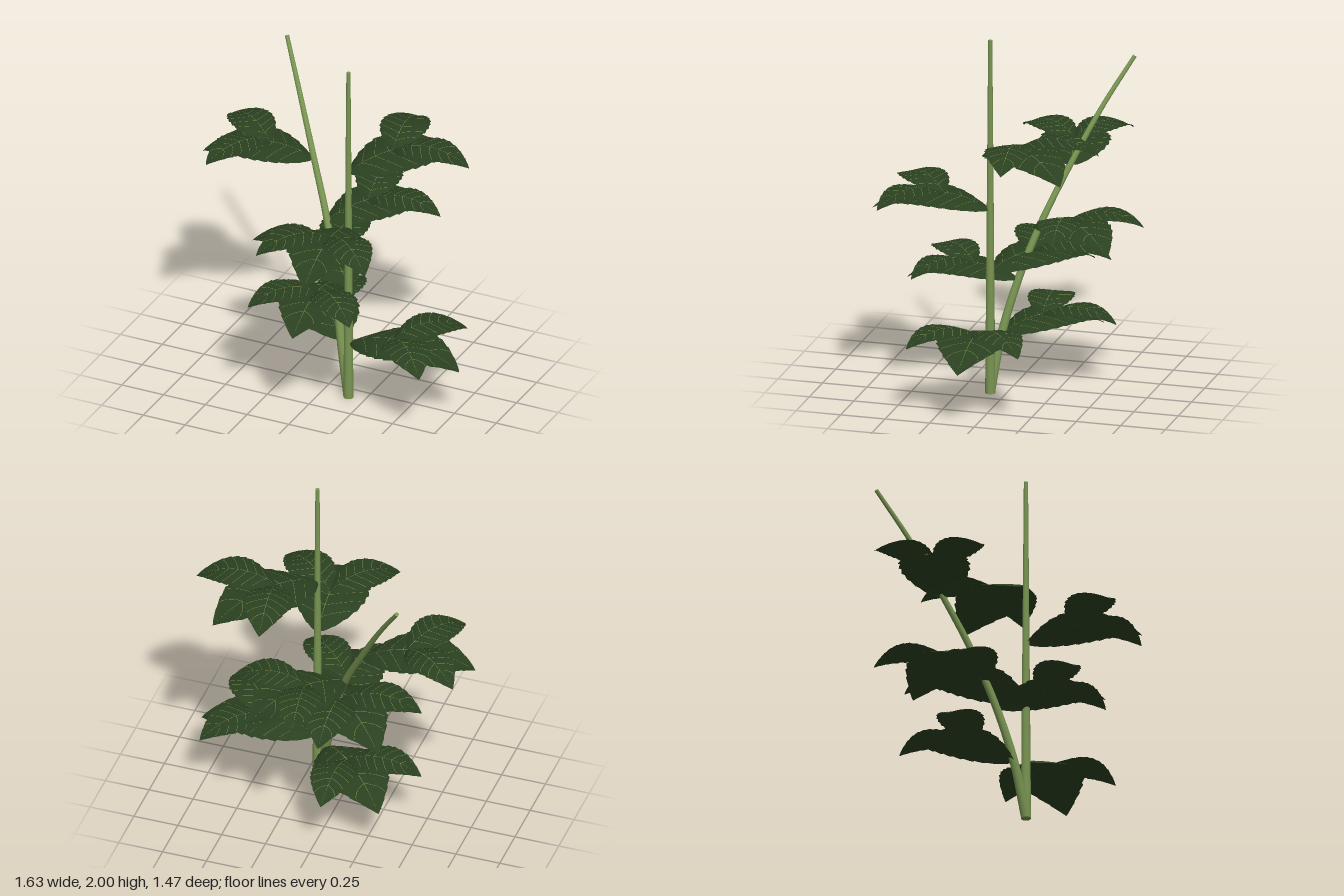
import * as THREE from 'three';
import { mergeGeometries } from 'three/addons/utils/BufferGeometryUtils.js';

const mat = (name, color, side = THREE.FrontSide) => {
  const m = new THREE.MeshStandardMaterial({ color, side });
  m.name = name;
  return m;
};

// Grid surface from a rule fn(a, b) with a, b in 0..1
function grid(na, nb, fn) {
  const pos = [], idx = [];
  for (let i = 0; i <= na; i++)
    for (let j = 0; j <= nb; j++) pos.push(...fn(i / na, j / nb));
  for (let i = 0; i < na; i++)
    for (let j = 0; j < nb; j++) {
      const a = i * (nb + 1) + j, b = a + nb + 1;
      idx.push(a, b, a + 1, b, b + 1, a + 1);
    }
  const g = new THREE.BufferGeometry();
  g.setAttribute('position', new THREE.Float32BufferAttribute(pos, 3));
  g.setIndex(idx);
  g.computeVertexNormals();
  return g;
}

// Point on an arched blade: t runs base to tip, u edge to edge (-1..1).
// The edges droop near the base and lift slightly at the tip.
function leafPoint(s, t, u, lift = 0) {
  const round = Math.pow(Math.max(0, Math.sin(Math.PI * Math.pow(t, 0.88))), 0.72);
  const half = s.width * s.length * round * (1 - 0.3 * t ** 8) * (1 - 0.35 * (1 - t) ** 5);
  const saw = 1 - 0.08 * ((t * 11) % 1) * Math.abs(u) ** 3;
  const curl = 0.11 * s.length * (t - 0.72) * u * u * Math.sqrt(Math.max(0, Math.sin(Math.PI * t)));
  const y = 4 * s.arch * t * (1 - t) + s.drop * t + curl;
  return [u * half * saw, y + lift, s.length * t];
}

function bladeGeometry(s) {
  return grid(55, 8, (t, b) => leafPoint(s, t, b * 2 - 1));
}

// Midrib and paired side veins lying just above the blade
function veinGeometry(s) {
  const w = 0.0011 / s.length;
  const parts = [grid(20, 1, (a, b) => leafPoint(s, 0.03 + 0.93 * a, (b - 0.5) * 0.016, 0.003))];
  for (let k = 0; k < 6; k++)
    for (const side of [-1, 1])
      parts.push(grid(6, 1, (a, b) =>
        leafPoint(s, 0.12 + 0.12 * k + 0.13 * a ** 1.2 + (b - 0.5) * 2 * w, side * 0.88 * a, 0.003)));
  return mergeGeometries(parts);
}

export function createModel() {
  const model = new THREE.Group();
  model.name = 'plant';
  const leafGreen = mat('leaf green', 0x2a4020, THREE.DoubleSide);
  const stemGreen = mat('stem green', 0x799552);
  const veinGreen = mat('vein green', 0x7c8e4a, THREE.DoubleSide);

  const add = (parent, name, geometry, material) => {
    const m = new THREE.Mesh(geometry, material);
    m.name = name;
    parent.add(m);
    return m;
  };

  // Upright stem
  add(model, 'uprightStem', new THREE.CylinderGeometry(0.0115, 0.028, 2, 14), stemGreen)
    .position.set(0.156, 1, 0.085);

  // Leaning stem: a tube tapered towards its top
  const path = new THREE.CatmullRomCurve3([
    [0.155, 0.008, 0.085], [0.09, 0.32, 0.04], [0.02, 0.62, -0.035], [-0.078, 0.92, -0.135],
    [-0.215, 1.21, -0.255], [-0.362, 1.5, -0.388], [-0.51, 1.76, -0.53],
  ].map(p => new THREE.Vector3(...p)));
  const tube = new THREE.TubeGeometry(path, 40, 1, 12);
  const tp = tube.attributes.position, v = new THREE.Vector3();
  for (let i = 0; i < tp.count; i++) {
    const t = tube.attributes.uv.getX(i), c = path.getPointAt(t);
    v.fromBufferAttribute(tp, i).sub(c).multiplyScalar(0.027 - 0.0155 * t).add(c);
    tp.setXYZ(i, v.x, v.y, v.z);
  }
  add(model, 'leaningStem', tube, stemGreen);
  for (const [t, r] of [[0, 0.027], [1, 0.0115]]) {
    const cap = add(model, 'leaningStemCap', new THREE.CircleGeometry(r, 12), stemGreen);
    const p = path.getPointAt(t);
    cap.position.copy(p);
    cap.lookAt(p.clone().addScaledVector(path.getTangentAt(t), t ? 1 : -1));
  }

  // Leaf shapes shared by every cluster
  const big = { length: 0.645, width: 0.325, arch: 0.092, drop: -0.04 };
  const small = { length: 0.43, width: 0.315, arch: 0.07, drop: -0.025 };
  for (const s of [big, small]) {
    s.blade = bladeGeometry(s);
    s.veins = veinGeometry(s);
  }
  const addLeaf = (parent, name, s, turn, y, z) => {
    const leaf = new THREE.Group();
    leaf.name = name;
    leaf.position.set(0, y, z);
    leaf.rotation.y = turn;
    add(leaf, 'blade', s.blade, leafGreen);
    add(leaf, 'veins', s.veins, veinGreen);
    parent.add(leaf);
  };

  // Clusters of three leaves: base x, y, z, then horizontal reach in x and z
  const clusters = [
    [0.155, 1.385, 0.085, 0.42, -0.515],
    [-0.22, 1.21, -0.26, -0.6, 0.13],
    [0.155, 1.045, 0.085, 0.05, 0.65],
    [-0.08, 0.92, -0.13, 0.39, -0.49],
    [0.155, 0.69, 0.085, -0.5, -0.44],
    [0.02, 0.62, -0.03, 0.04, 0.61],
    [0.165, 0.345, 0.085, 0.65, -0.01],
    [0.09, 0.32, 0.04, -0.45, -0.44],
  ];
  for (const [x, y, z, dx, dz] of clusters) {
    const cluster = new THREE.Group();
    cluster.name = 'leafCluster';
    cluster.position.set(x, y, z);
    cluster.rotation.y = Math.atan2(dx, dz);
    cluster.scale.setScalar(Math.hypot(dx, dz) / big.length);
    addLeaf(cluster, 'middleLeaf', big, 0, 0, 0);
    for (const side of [-1, 1])
      addLeaf(cluster, side > 0 ? 'leftLeaf' : 'rightLeaf', small, side * 0.81, 0.074, 0.256);
    model.add(cluster);
  }
  return model;
}
